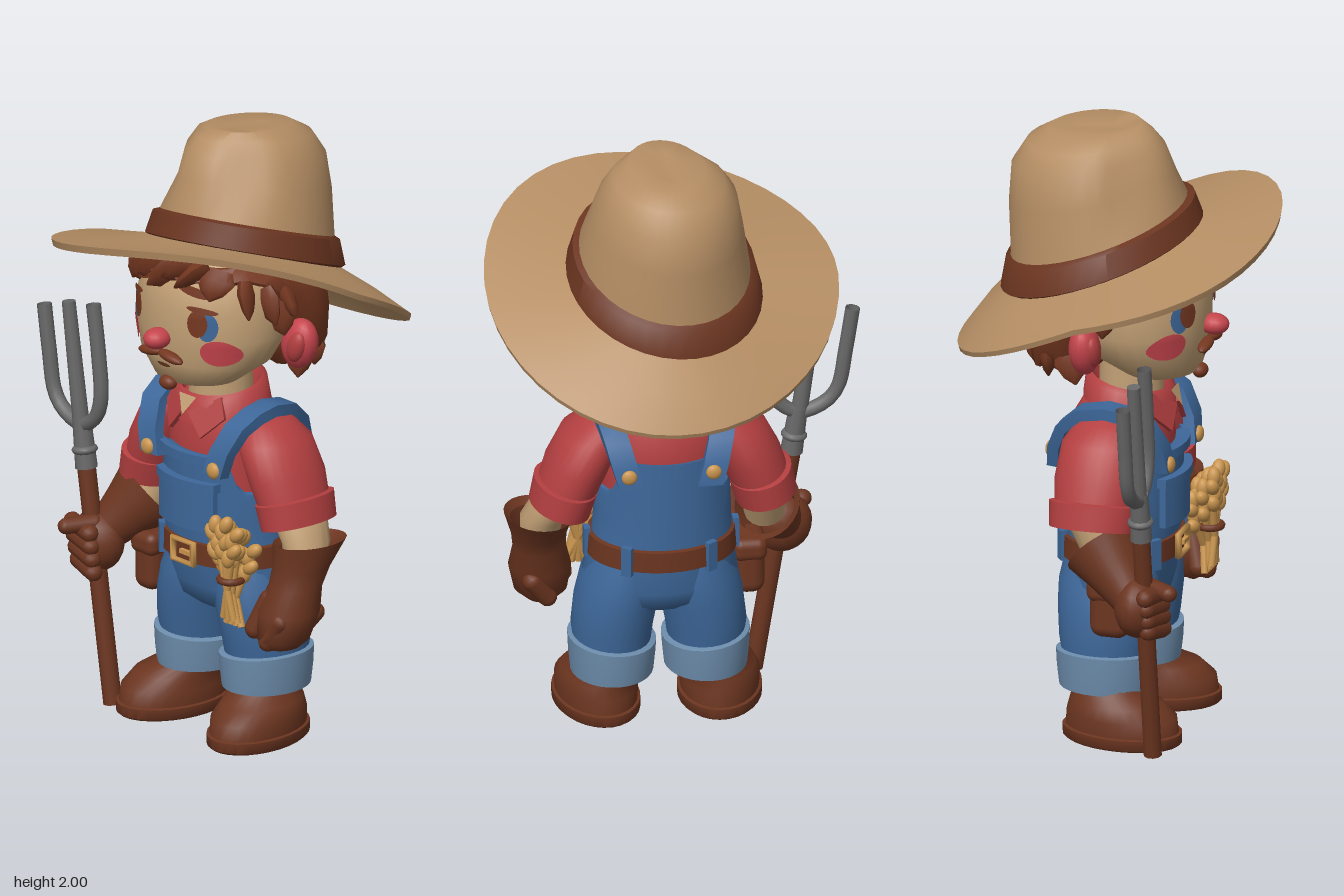
import * as THREE from 'three';
import { toCreasedNormals } from 'three/addons/utils/BufferGeometryUtils.js';
import { RoundedBoxGeometry } from 'three/addons/geometries/RoundedBoxGeometry.js';

const V = (x, y, z) => new THREE.Vector3(x, y, z);
const CX = 0.035; // body midline

export function createModel() {
  const root = new THREE.Group();
  root.name = 'farmer';
  const mat = (name, color) => new THREE.MeshStandardMaterial({ name, color, side: THREE.DoubleSide });
  const straw = mat('hat felt', 0xb58e64), skinM = mat('skin', 0xc2a075), brown = mat('leather brown', 0x6b3520),
    hairM = mat('hair brown', 0x743720), blue = mat('denim blue', 0x3d6799), pale = mat('turned denim', 0x6c8cab),
    red = mat('shirt red', 0xb33f40), pink = mat('blush red', 0xc4444c), metal = mat('iron grey', 0x686868), gold = mat('wheat gold', 0xc8944e);

  const add = (name, geo, m, parent = root) => {
    const mesh = new THREE.Mesh(geo, m);
    mesh.name = name;
    parent.add(mesh);
    return mesh;
  };
  // closed cross-sections joined into a surface, with optional end caps
  const skin = (sections, caps = true, crease = 0.9) => {
    const n = sections[0].length, pos = [], idx = [];
    sections.forEach(s => s.forEach(p => pos.push(p.x, p.y, p.z)));
    for (let i = 0; i < sections.length - 1; i++) for (let j = 0; j < n; j++) {
      const a = i * n + j, b = i * n + (j + 1) % n;
      idx.push(a, a + n, b, b, a + n, b + n);
    }
    if (caps) [0, sections.length - 1].forEach((i, end) => {
      const c = sections[i].reduce((s, p) => s.add(p), V(0, 0, 0)).divideScalar(n), k = pos.length / 3;
      pos.push(c.x, c.y, c.z);
      for (let j = 0; j < n; j++) {
        const a = i * n + j, b = i * n + (j + 1) % n;
        end ? idx.push(a, k, b) : idx.push(a, b, k);
      }
    });
    const g = new THREE.BufferGeometry();
    g.setAttribute('position', new THREE.Float32BufferAttribute(pos, 3));
    g.setIndex(idx);
    return toCreasedNormals(g, crease);
  };
  // elliptical rings: x, y, z, rx, rz, slope along x, slope along z
  const loft = (rings, { seg = 28, caps = true, warp } = {}) => skin(rings.map(([x, y, z, rx, rz, sx = 0, sz = 0], i) =>
    Array.from({ length: seg }, (_, j) => {
      const a = j / seg * Math.PI * 2, c = Math.cos(a) * rx, s = Math.sin(a) * rz;
      const p = V(x + c, y + sx * c + sz * s, z + s);
      if (warp) warp(p, i, a);
      return p;
    })), caps);
  const aim = (mesh, a, b) => {
    mesh.position.copy(a);
    mesh.quaternion.setFromUnitVectors(V(0, 1, 0), b.clone().sub(a).normalize());
    return mesh;
  };
  const rod = (name, m, a, b, r0, r1 = r0, seg = 10) => {
    const len = a.distanceTo(b);
    return aim(add(name, new THREE.CylinderGeometry(r1, r0, len, seg).translate(0, len / 2, 0), m), a, b);
  };
  const blob = (name, m, x, y, z, rx, ry, rz, rot = 0) => {
    const b = add(name, new THREE.SphereGeometry(1, 16, 12), m);
    b.position.set(x, y, z);
    b.scale.set(rx, ry, rz);
    b.rotation.z = rot;
  };
  const finger = (name, a, b, r) => {
    const len = a.distanceTo(b);
    aim(add(name, new THREE.CapsuleGeometry(r, len, 4, 10).translate(0, len / 2, 0), brown), a, b);
  };

  // hat: crown falling towards the back, band and wavy tilted brim
  add('hatCrown', loft([[.04, 1.56, -.06, .29, .30, .12, .36], [.04, 1.66, -.07, .27, .28, .12, .34],
    [.035, 1.79, -.09, .242, .267, .08, .23], [.03, 1.89, -.1, .217, .248, .05, .16], [.03, 1.95, -.095, .178, .205, .07, .11],
    [.035, 1.983, -.08, .12, .15, .08, .09], [.03, 1.975, -.07, .03, .08, 0, .08]], {
    seg: 36,
    warp: (p, i, a) => { // pinched front sides
      const d = Math.max(0, Math.cos((Math.abs(a - Math.PI / 2) - .75) * 3.2)) * (Math.sin(a) > 0 ? 1 : 0);
      if (i > 1 && i < 5) { p.x += (.03 - p.x) * .1 * d; p.z += (-.12 - p.z) * .1 * d; }
    }
  }), straw);
  add('hatBand', loft([[.04, 1.555, -.06, .30, .31, .12, .36], [.04, 1.565, -.06, .312, .322, .12, .36],
    [.04, 1.645, -.065, .291, .301, .12, .35], [.04, 1.655, -.07, .265, .275, .12, .35]], { seg: 36, caps: false }), brown);
  add('hatBrim', loft([[.04, 1.535, -.06, .26, .27, .12, .37], [.04, 1.51, -.03, .43, .42, .09, .41], [.04, 1.475, 0, .565, .52, .07, .455],
    [.04, 1.495, 0, .57, .525, .07, .46], [.04, 1.53, -.03, .43, .42, .09, .41], [.04, 1.565, -.06, .28, .29, .12, .37]], {
    seg: 44, caps: false,
    warp: (p, i, a) => { // lifted sides, uneven front
      const k = [0, .5, 1, 1, .5, 0][i], x = p.x - .04;
      p.y += k * (.04 * Math.cos(a) ** 2 + Math.max(0, Math.sin(a)) * (-.03 + .13 * x));
      p.x -= k * .05 * p.z;
      p.z -= k * .04 * x;
    }
  }), straw);

  // head
  const headRings = [[CX, 1.175, .14, .07, .07], [CX, 1.2, .14, .15, .125], [CX, 1.27, .1, .235, .185], [CX, 1.36, .07, .265, .225],
    [CX, 1.45, .06, .265, .235], [CX, 1.55, .04, .255, .24], [CX, 1.65, 0, .2, .2]];
  add('head', loft(headRings), skinM);
  const faceZ = (x, y) => {
    let i = 0;
    while (i < headRings.length - 2 && headRings[i + 1][1] < y) i++;
    const a = headRings[i], b = headRings[i + 1], t = (y - a[1]) / (b[1] - a[1]);
    const l = k => a[k] + (b[k] - a[k]) * t;
    return l(2) + l(4) * Math.sqrt(Math.max(0, 1 - ((x - CX) / l(3)) ** 2));
  };
  // thin painted ellipse that follows the face
  const patch = (name, m, x, y, rx, ry, rot = 0, lift = .006) => {
    const g = new THREE.RingGeometry(.001, 1, 20, 4).scale(rx, ry, 1).rotateZ(rot).translate(x, y, 0), p = g.attributes.position;
    for (let i = 0; i < p.count; i++) p.setZ(i, faceZ(p.getX(i), p.getY(i)) + lift);
    g.computeVertexNormals();
    add(name, g, m);
  };
  for (const s of [1, -1]) {
    patch('eyeBlue', blue, CX + s * .163, 1.417, .029, .047);
    patch('eyeBrown', hairM, CX + s * .136, 1.427, .03, .045, 0, .009);
    patch('eyeLid', hairM, CX + s * .147, 1.472, .046, .01, -s * .15, .011);
    patch('eyebrow', hairM, CX + s * .12, 1.53, .06, .015, -s * .25, .011);
    patch('cheek', pink, CX + s * .19, 1.33, .048, .044, 0, .007);
    blob('moustache', hairM, CX + s * .045, 1.3, faceZ(CX, 1.3) + .012, .055, .016, .022, -s * .15);
    blob('ear', pink, CX + s * .3, 1.335, -.022, .066, .088, .05, -s * .35);
    blob('earHollow', red, CX + s * .318, 1.335, .01, .034, .056, .026, -s * .35);
  }
  blob('nose', pink, CX, 1.355, .315, .042, .034, .048);
  blob('goatee', hairM, CX, 1.195, .268, .033, .024, .025);
  patch('mouth', brown, CX, 1.26, .03, .007);

  // hair: back shell, fringe and tufts
  add('hairShell', loft([[CX, 1.215, -.14, .16, .1], [CX, 1.23, -.145, .22, .132], [CX, 1.3, -.135, .262, .15], [CX, 1.4, -.12, .28, .165],
    [CX, 1.5, -.06, .29, .225], [CX, 1.56, .0, .268, .295], [CX, 1.6, -.01, .235, .28]], {
    seg: 40, warp: (p, i, a) => { if (i < 2) p.y += .012 * Math.sin(a * 8); else if (i === 5) p.y += .012 * Math.sin(a * 14); }
  }), hairM);
  const lock = (x, y, z, tx, ty, tz, r) => {
    const a = V(x, y, z), b = V(tx, ty, tz), len = a.distanceTo(b);
    aim(add('hairLock', loft([[0, 0, 0, r * .7, r * .4], [0, len * .35, 0, r, r * .45], [0, len * .75, 0, r * .6, r * .3], [0, len, 0, .003, .003]], { seg: 8 }), hairM), a, b);
  };
  [[.1, 1.61, -.02, 1.52], [.02, 1.61, -.1, 1.53], [.16, 1.61, .1, 1.54], [-.06, 1.58, -.17, 1.49], [.2, 1.6, .21, 1.51], [.14, 1.61, .04, 1.56]]
    .forEach(([x, y, tx, ty]) => lock(x, y, .25 - Math.abs(x - CX) * .3, tx, ty, faceZ(tx, ty) + .03, .068));
  for (const s of [1, -1])
    [[.22, 1.56, .14, .27, 1.45, .17], [.24, 1.53, .08, .3, 1.42, .08], [.25, 1.5, .0, .34, 1.45, .03], [.26, 1.48, .04, .285, 1.37, .03],
      [.22, 1.3, -.1, .24, 1.19, -.07], [.1, 1.3, -.23, .11, 1.2, -.24], [.2, 1.3, -.17, .21, 1.2, -.17]]
      .forEach(([x, y, z, tx, ty, tz]) => lock(CX + s * x, y, z, CX + s * tx, ty, tz, .055));

  // shirt, neck and collar
  rod('neck', skinM, V(CX, 1.03, .04), V(CX, 1.22, .04), .105, .1, 20);
  add('shirt', loft([[CX, .6, .015, .2, .16], [CX, .8, .015, .2, .16], [CX, .95, .015, .205, .16], [CX, 1.04, .015, .205, .15], [CX, 1.085, .02, .17, .13], [CX, 1.12, .03, .11, .1]]), red);
  add('collar', loft([[CX, 1.07, .04, .17, .152, 0, -.2], [CX, 1.145, .037, .15, .14, 0, -.2], [CX, 1.157, .037, .135, .125, 0, -.2], [CX, 1.09, .04, .11, .1, 0, -.2]], { caps: false }), red);
  for (const s of [1, -1]) {
    const flap = add('collarFlap', new THREE.ExtrudeGeometry(new THREE.Shape([[0, .0], [.1, .075], [.13, .01], [.065, -.07]].map(([x, y]) => new THREE.Vector2(s * x, y))), { depth: .015, bevelEnabled: false }), red);
    flap.position.set(CX + s * .006, 1.075, .182);
    flap.rotation.set(-.35, s * .35, 0);
  }
  const throat = add('openNeck', new THREE.CircleGeometry(.045, 3).rotateZ(-Math.PI / 2), skinM);
  throat.position.set(CX, 1.11, .192);
  throat.rotation.x = -.4;

  // overalls: body, pocket, straps, buttons
  add('overalls', loft([[.05, .405, 0, .17, .11], [.05, .44, 0, .235, .155], [.048, .49, 0, .253, .17], [.04, .61, .01, .225, .178], [CX, .73, .015, .218, .182],
    [CX, .85, .018, .215, .184], [CX, .95, .02, .21, .184]], {
    seg: 40, warp: (p, i, a) => { // low sides, high bib and back
      const t = THREE.MathUtils.smoothstep(Math.abs(Math.cos(a)), .65, .88);
      if (i === 6) p.y -= .13 * t;
      if (i === 5) p.y -= .05 * t;
    }
  }), blue);
  const plate = (name, w, h, d, y, lift) => {
    const g = new THREE.BoxGeometry(w, h, d, 8, 1, 1), p = g.attributes.position;
    for (let i = 0; i < p.count; i++) p.setZ(i, p.getZ(i) + .018 + (.184 + lift) * Math.sqrt(1 - (p.getX(i) / .23) ** 2));
    g.computeVertexNormals();
    add(name, g, blue).position.set(CX, y, 0);
  };
  plate('bibPocket', .25, .15, .02, .77, .01);
  plate('bibPocketHem', .265, .03, .03, .845, .014);
  plate('bibHem', .3, .03, .025, .935, .008);
  const strapPath = [[.9, .2, .145], [.98, .19, .167], [1.055, .15, .192], [1.09, .09, .203], [1.1, .02, .2], [1.08, -.07, .185], [1.02, -.135, .165], [.95, -.165, .145], [.88, -.172, .125]];
  for (const s of [1, -1]) {
    const sections = strapPath.map(([y, z, x], i) => {
      const a = strapPath[Math.max(0, i - 1)], b = strapPath[Math.min(strapPath.length - 1, i + 1)], l = Math.hypot(b[0] - a[0], b[1] - a[1]);
      const ny = -(b[1] - a[1]) / l, nz = (b[0] - a[0]) / l;
      return [[.04, -.02], [.04, .018], [-.04, .018], [-.04, -.02]].map(([w, t]) => V(CX + s * x + w, y + ny * t, z + nz * t));
    });
    add('strap', skin(sections, true, .6), blue);
    blob('frontButton', gold, CX + s * .153, .922, .215, .027, .027, .016);
    blob('backButton', gold, CX + s * .135, .93, -.188, .025, .025, .014);
  }

  // belt, loops, buckle, pouch
  add('belt', loft([[.04, .572, .01, .225, .175], [.04, .575, .01, .24, .192], [.04, .645, .01, .235, .192], [.04, .648, .01, .22, .175]], { seg: 36, caps: false }), brown);
  for (const a of [.9, 2.24, 3.14, 4.1, 5.3, 0]) {
    const l = add('beltLoop', new THREE.BoxGeometry(.035, .1, .02), blue);
    l.position.set(.04 + Math.cos(a) * .238, .61, .01 + Math.sin(a) * .194);
    l.rotation.y = Math.PI / 2 - a;
  }
  add('buckle', new THREE.TorusGeometry(.05, .011, 6, 4).rotateZ(Math.PI / 4).scale(1.3, 1, 1), gold).position.set(.04, .61, .208);
  add('bucklePin', new THREE.BoxGeometry(.05, .014, .014), gold).position.set(.055, .61, .21);
  add('pouch', new RoundedBoxGeometry(.1, .18, .13, 3, .04), brown).position.set(-.245, .465, .06);
  add('pouchFlap', new RoundedBoxGeometry(.112, .08, .145, 3, .03), brown).position.set(-.245, .535, .06);

  // legs, turned cuffs and boots
  for (const s of [1, -1]) {
    const x = .05 + s * .15;
    add('trouserLeg', loft([[x, .2, -.005, .115, .13], [x, .32, -.003, .13, .15], [.05 + s * .135, .42, 0, .134, .162], [.05 + s * .12, .5, 0, .13, .163], [.05 + s * .11, .57, 0, .11, .15]]), blue);
    add('trouserCuff', loft([[x, .165, -.003, .115, .13], [x, .16, -.003, .132, .15], [x, .22, -.003, .138, .157], [x, .275, -.003, .141, .16, s * .08], [x, .28, -.003, .125, .142, s * .08]]), pale);
    const boot = new THREE.Group();
    boot.name = 'boot';
    boot.position.set(.042 + s * .188, 0, 0);
    boot.rotation.y = s * .14;
    root.add(boot);
    add('bootSole', loft([[0, 0, .07, .127, .19], [0, .008, .07, .135, .2], [0, .04, .07, .135, .2], [0, .045, .07, .12, .18]]), brown, boot);
    add('bootUpper', loft([[0, .04, .07, .126, .19], [0, .09, .068, .128, .184], [0, .13, .05, .114, .155], [-s * .02, .16, .015, .1, .12], [-s * .03, .22, 0, .095, .11]]), brown, boot);
  }

  // sleeves with rolled cuffs
  for (const s of [1, -1]) {
    const m = r => [CX + s * r[0], r[1], r[2], r[3], r[4], s * (r[5] || 0)];
    add('sleeve', loft([[.315, .79, .01, .09, .125, .25], [.278, .89, .012, .096, .138, .25], [.222, 1.0, .015, .102, .132, .1], [.17, 1.065, .015, .085, .09], [.13, 1.09, .015, .04, .05]].map(m)), red);
    add('sleeveCuff', loft([[.33, .745, .01, .08, .11, .25], [.33, .745, .01, .096, .137, .25], [.31, .825, .01, .1, .144, .25], [.31, .83, .01, .085, .12, .25]].map(m)), red);
  }

  // left arm: forearm and hanging glove
  add('leftForearm', loft([[.425, .62, .045, .06, .065], [.418, .7, .028, .07, .082], [.36, .79, .01, .078, .1]]), skinM);
  add('leftGlove', loft([[.41, .37, .12, .05, .06], [.41, .4, .12, .085, .085], [.415, .49, .1, .1, .1], [.42, .57, .075, .085, .085], [.425, .63, .055, .088, .095],
    [.432, .71, .025, .108, .125, .1], [.43, .69, .025, .09, .1, .1]], { caps: false }), brown);
  for (let i = 0; i < 4; i++) finger('leftFinger', V(.45, .47, .02 + i * .05), V(.4, .385 + .008 * Math.abs(i - 2), .04 + i * .045), .032);
  finger('leftThumb', V(.37, .52, .14), V(.335, .42, .17), .034);

  // right arm: bent forearm and gripping glove
  rod('rightForearm', skinM, V(-.285, .8, .0), V(-.3, .64, .07), .08, .065, 16);
  aim(add('rightGloveCuff', loft([[0, -.03, 0, .06, .06], [0, .04, 0, .075, .075], [0, .11, 0, .095, .095], [0, .2, 0, .125, .125], [0, .18, 0, .1, .1]], { caps: false }), brown), V(-.37, .55, .17), V(-.28, .7, .03));
  blob('rightPalm', brown, -.375, .53, .19, .095, .1, .075, .2);
  for (let i = 0; i < 4; i++) finger('rightFinger', V(-.445 + i * .01, .585 - i * .04, .235), V(-.345 + i * .006, .575 - i * .042, .255), .03);
  finger('rightThumb', V(-.36, .6, .22), V(-.405, .595, .3), .027);

  // pitchfork
  const fz = .21, prong = pts => new THREE.TubeGeometry(new THREE.CatmullRomCurve3(pts.map(([x, y]) => V(x, y, fz))), 30, .024, 8);
  rod('forkHandle', brown, V(-.285, .005, fz), V(-.41, .79, fz), .03, .03);
  rod('forkSocket', metal, V(-.407, .77, fz), V(-.43, .93, fz), .036, .03);
  blob('forkCollar', metal, -.415, .83, fz, .042, .02, .042, .14);
  add('outerTines', prong([[-.603, 1.27], [-.58, 1.12], [-.555, .99], [-.515, .94], [-.43, .91], [-.365, .95], [-.34, 1.02], [-.35, 1.16], [-.375, 1.33]]), metal);
  rod('middleTine', metal, V(-.43, .9, fz), V(-.49, 1.31, fz), .027, .022);

  // wheat bunch tucked in the belt
  for (let i = 0; i < 10; i++) {
    const t = (i - 4.5) / 4.5, lift = .025 * (i % 3), z = .185 + .03 * (i % 3);
    rod('wheatStem', gold, V(.285 - t * .035, .43 + lift * .5, .215 + .01 * (i % 3)), V(.27 + t * .05, .64 + lift, z), .012);
    for (let k = 0; k < 4; k++)
      blob('wheatGrain', gold, .267 + t * (.048 + k * .009) + (k % 2 ? .01 : -.01), .635 + lift + k * .03 - .035 * t * t, z + .005, .022, .032, .022, -t * .5 + (k % 2 ? -.4 : .4));
  }
  add('wheatTie', new THREE.TorusGeometry(.036, .012, 8, 16).rotateX(Math.PI / 2), brown).position.set(.28, .585, .225);
  return root;
}
